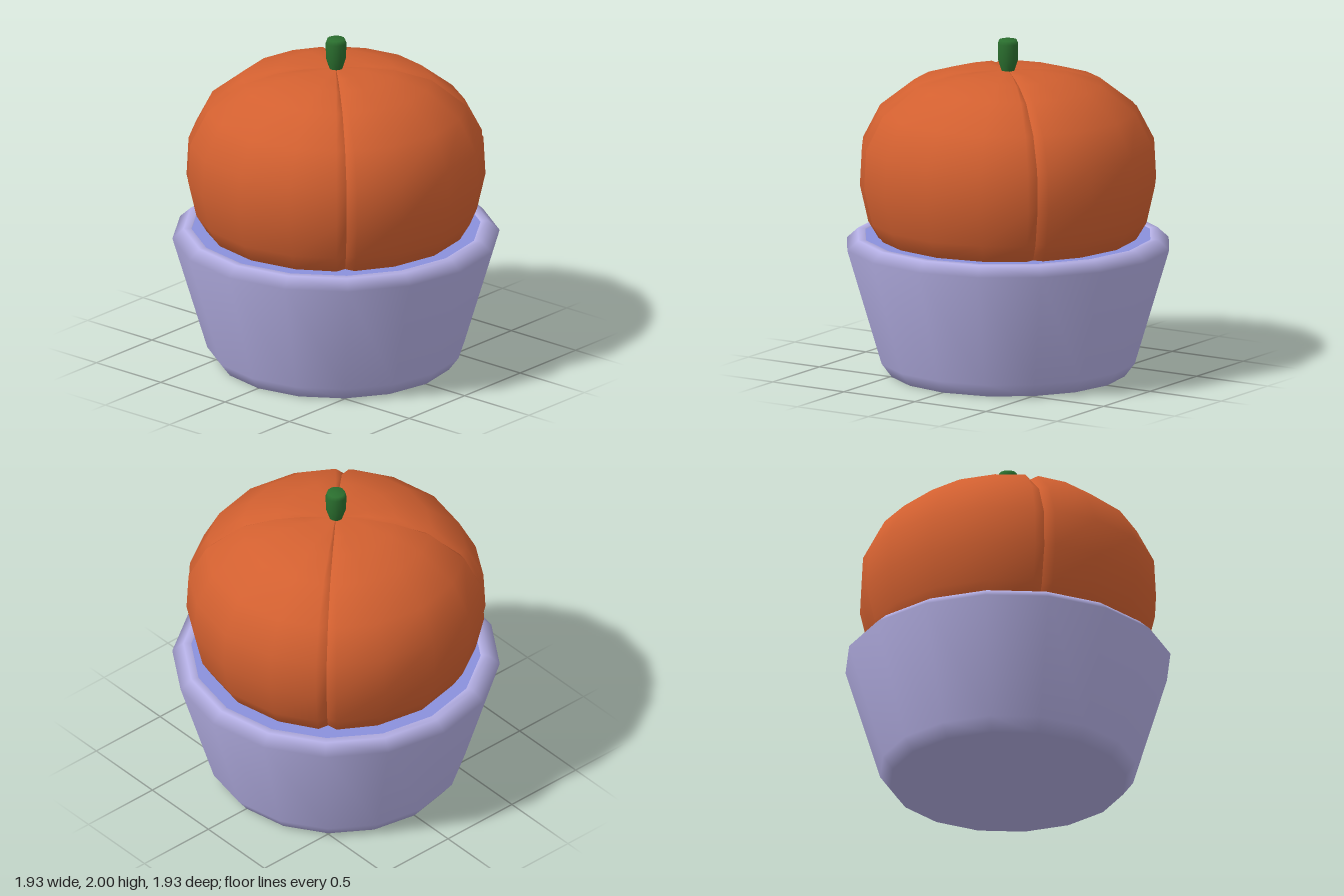
import * as THREE from 'three';

const material = (name, color) => new THREE.MeshStandardMaterial({ name, color });

function lathe(name, points, segments, mat) {
  const profile = points.map(([r, y]) => new THREE.Vector2(r, y));
  const mesh = new THREE.Mesh(new THREE.LatheGeometry(profile, segments), mat);
  mesh.name = name;
  return mesh;
}

// Each row: lobe radius, lobe height, crease inset, crease drop
const LOBE_ROWS = [
  [0.001, 0.55, 0, 0], [0.45, 0.6, 0.02, 0], [0.66, 0.71, 0.03, 0],
  [0.77, 0.83, 0.04, 0], [0.83, 0.93, 0.035, 0], [0.88, 1.15, 0.025, 0],
  [0.868, 1.38, 0.025, 0], [0.765, 1.58, 0.035, 0.005], [0.56, 1.74, 0.035, 0.015],
  [0.35, 1.80, 0.02, 0.02], [0.19, 1.816, 0, 0.015], [0.001, 1.816, 0, 0],
];
const LOBE_ANGLES = [-45, -41, -22.5, 0, 22.5, 41, 45];

// A quarter of the pumpkin, pulled in along both edges
function lobeGeometry() {
  const positions = [], index = [], n = LOBE_ANGLES.length;
  LOBE_ROWS.forEach(([r, y, inset, drop], row) => {
    LOBE_ANGLES.forEach((deg, col) => {
      const edge = Math.abs(deg) === 45 ? 1 : 0;
      const a = THREE.MathUtils.degToRad(deg), rr = r - inset * edge;
      positions.push(rr * Math.sin(a), y - drop * edge, rr * Math.cos(a));
      if (row && col) {
        const d = row * n + col, c = d - 1, b = d - n, e = b - 1;
        index.push(e, b, d, e, d, c);
      }
    });
  });
  const geo = new THREE.BufferGeometry();
  geo.setAttribute('position', new THREE.Float32BufferAttribute(positions, 3));
  geo.setIndex(index);
  geo.computeVertexNormals();
  return geo;
}

export function createModel() {
  const model = new THREE.Group();
  model.name = 'pumpkinInBowl';
  const lavender = material('lavender', 0xb4afe4);
  const blue = material('blue', 0x8a90dc);
  const orange = material('orange', 0xd26030);
  const green = material('green', 0x2a6e2e);

  // Bowl with bevelled foot and rim
  model.add(lathe('bowl', [
    [0, 0], [0.70, 0], [0.76, 0.08], [0.966, 0.77], [0.90, 0.83], [0.855, 0.83], [0.85, 0.81],
  ], 16, lavender));

  // Filling just below the rim
  const filling = new THREE.Mesh(new THREE.CircleGeometry(0.856, 16), blue);
  filling.name = 'filling';
  filling.rotation.x = -Math.PI / 2;
  filling.position.y = 0.823;
  model.add(filling);

  // Four pumpkin lobes
  const pumpkin = new THREE.Group();
  pumpkin.name = 'pumpkin';
  const geo = lobeGeometry();
  for (let i = 0; i < 4; i++) {
    const lobe = new THREE.Mesh(geo, orange);
    lobe.name = 'lobe';
    lobe.rotation.y = i * Math.PI / 2;
    pumpkin.add(lobe);
  }
  model.add(pumpkin);

  // Stem
  model.add(lathe('stem', [
    [0.035, 1.79], [0.04, 1.82], [0.06, 1.88], [0.061, 1.975], [0.052, 2], [0, 2],
  ], 16, green));

  return model;
}
